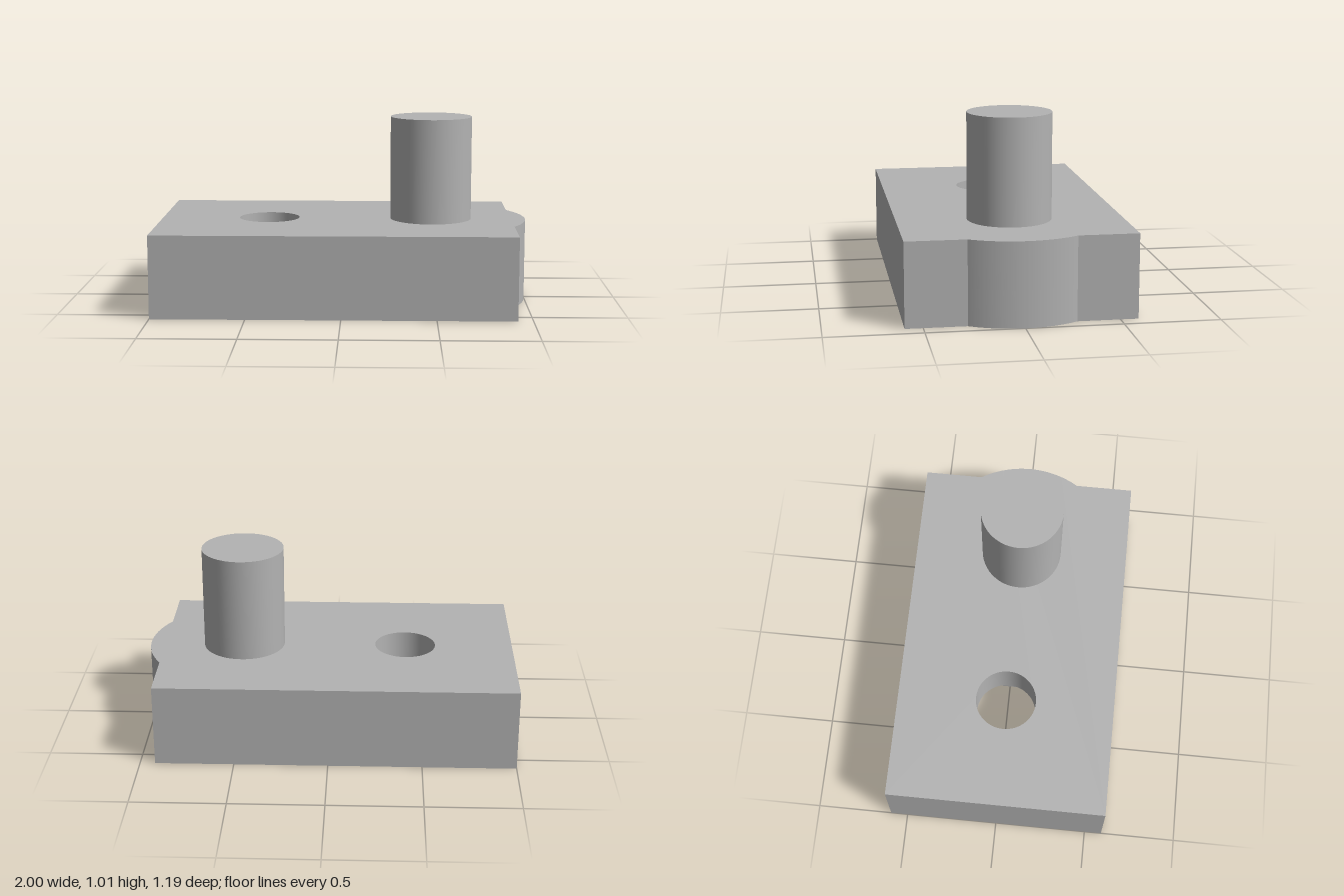
import * as THREE from 'three';
import { toCreasedNormals } from 'three/addons/utils/BufferGeometryUtils.js';

const HEIGHT = 0.443, POCKET = 0.195;   // block height, pocket depth
const EDGE = 0.92, HALF = 0.593;        // flat end in x, half width in z
const POST_X = 0.48, BULGE = 0.52;      // post centre, rounded end radius

// Block outline: rectangle with a round bulge concentric with the post
function outline() {
  const a = Math.acos((EDGE - POST_X) / BULGE);
  const s = new THREE.Shape();
  s.moveTo(-1, -HALF);
  s.lineTo(EDGE, -HALF);
  s.absarc(POST_X, 0, BULGE, -a, a, false);
  s.lineTo(EDGE, HALF);
  s.lineTo(-1, HALF);
  s.closePath();
  return s;
}

// Extrude a plan shape upwards from y0 to y1
function layer(name, shape, y0, y1, material) {
  let geo = new THREE.ExtrudeGeometry(shape, { depth: y1 - y0, bevelEnabled: false, curveSegments: 40 });
  geo.rotateX(-Math.PI / 2);
  geo.translate(0, y0, 0);
  geo = toCreasedNormals(geo, 0.4);
  const mesh = new THREE.Mesh(geo, material);
  mesh.name = name;
  return mesh;
}

export function createModel() {
  const group = new THREE.Group();
  group.name = 'blockWithPost';
  const grey = new THREE.MeshStandardMaterial({ name: 'grey', color: 0xb3b3b3 });

  // Lower layer with the rectangular pocket
  const lower = outline();
  const pocket = new THREE.Path();
  pocket.moveTo(-0.93, -0.34);
  pocket.lineTo(-0.93, 0.34);
  pocket.lineTo(-0.19, 0.34);
  pocket.lineTo(-0.19, -0.34);
  pocket.closePath();
  lower.holes.push(pocket);
  group.add(layer('lowerBlock', lower, 0, POCKET, grey));

  // Upper layer with the round through hole
  const upper = outline();
  const hole = new THREE.Path();
  hole.absarc(-0.41, 0, 0.165, 0, Math.PI * 2, true);
  upper.holes.push(hole);
  group.add(layer('upperBlock', upper, POCKET, HEIGHT, grey));

  // Cylindrical post
  const postHeight = 1.007 - HEIGHT;
  const post = new THREE.Mesh(new THREE.CylinderGeometry(0.222, 0.222, postHeight, 64), grey);
  post.name = 'post';
  post.position.set(POST_X, HEIGHT + postHeight / 2, 0);
  group.add(post);

  return group;
}
